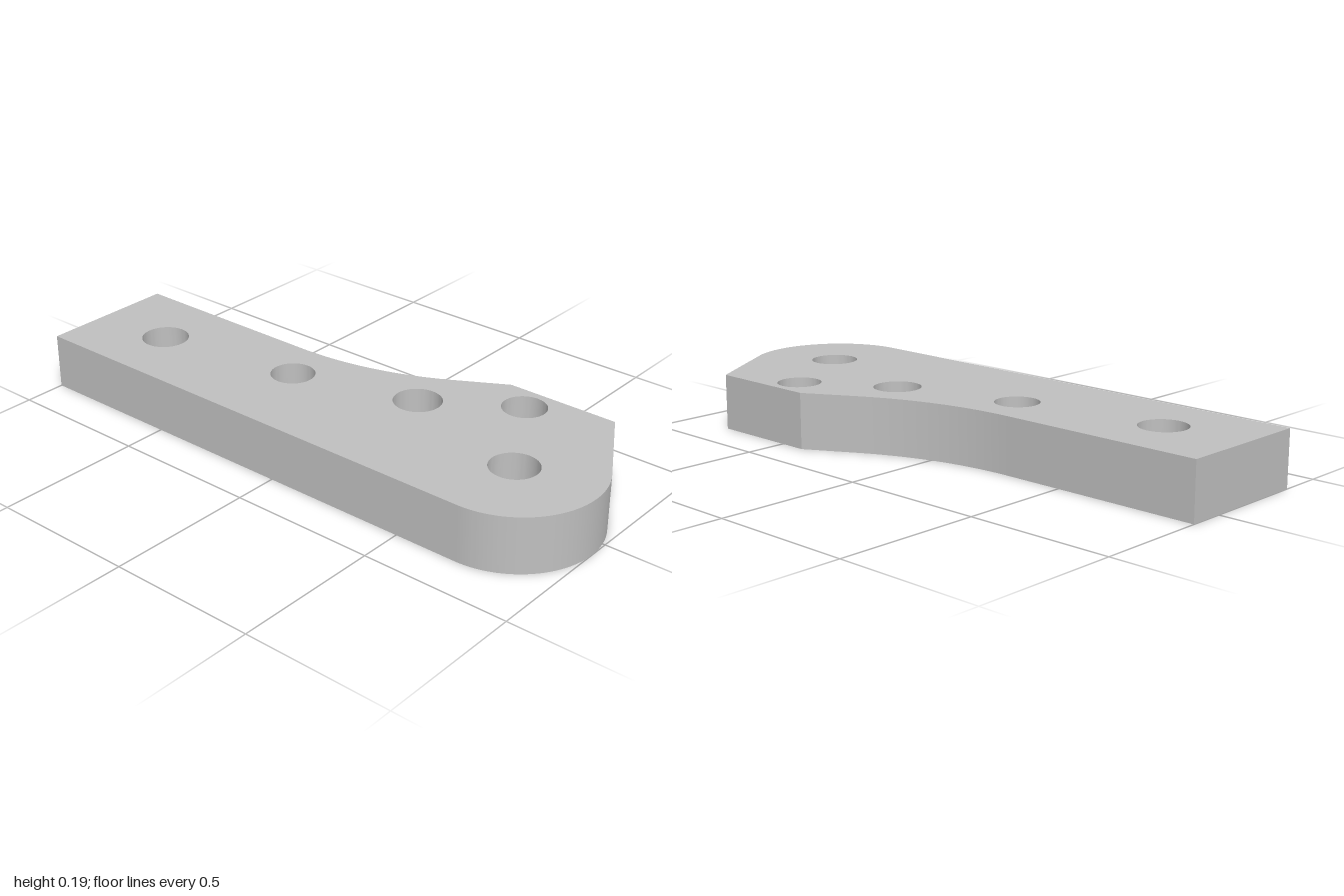
import * as THREE from 'three';
import { toCreasedNormals } from 'three/addons/utils/BufferGeometryUtils.js';

const HEIGHT = 0.19;

// Bolt holes: x, z, radius
const HOLES = [
  [-0.71, 0.117, 0.08],
  [-0.19, 0.04, 0.074],
  [0.24, -0.075, 0.08],
  [0.525, -0.257, 0.074],
  [0.714, 0.069, 0.08],
];

export function createModel() {
  const group = new THREE.Group();
  group.name = 'mountingBracket';

  const grey = new THREE.MeshStandardMaterial({ color: 0xc0c0c0 });
  grey.name = 'plain grey';

  // Plan outline, drawn with shape y = -z
  const rad = THREE.MathUtils.degToRad;
  const outline = new THREE.Shape();
  outline.moveTo(-1, -0.355);
  outline.lineTo(0.715, -0.355);
  // Rounded end, running tangent into the slanted edge
  outline.absarc(0.715, -0.07, 0.285, rad(-90), rad(30), false);
  outline.lineTo(0.795, 0.357);
  outline.lineTo(0.405, 0.357);
  // Straight slope, then the concave sweep down to the arm
  const sweep = new THREE.Path().absarc(-0.29, 1.18, 1.06, rad(-60), rad(-90), true);
  sweep.getPoints(24).forEach((p) => outline.lineTo(p.x, p.y));
  outline.lineTo(-1, 0.12);
  outline.closePath();

  // Through holes
  for (const [x, z, r] of HOLES) {
    outline.holes.push(new THREE.Path().absarc(x, -z, r, 0, Math.PI * 2, true));
  }

  // Stand the extrusion upright and keep its corners sharp
  const solid = new THREE.ExtrudeGeometry(outline, {
    depth: HEIGHT,
    bevelEnabled: false,
    curveSegments: 32,
  });
  solid.rotateX(-Math.PI / 2);

  const plate = new THREE.Mesh(toCreasedNormals(solid, rad(25)), grey);
  plate.name = 'plate';
  group.add(plate);
  return group;
}
